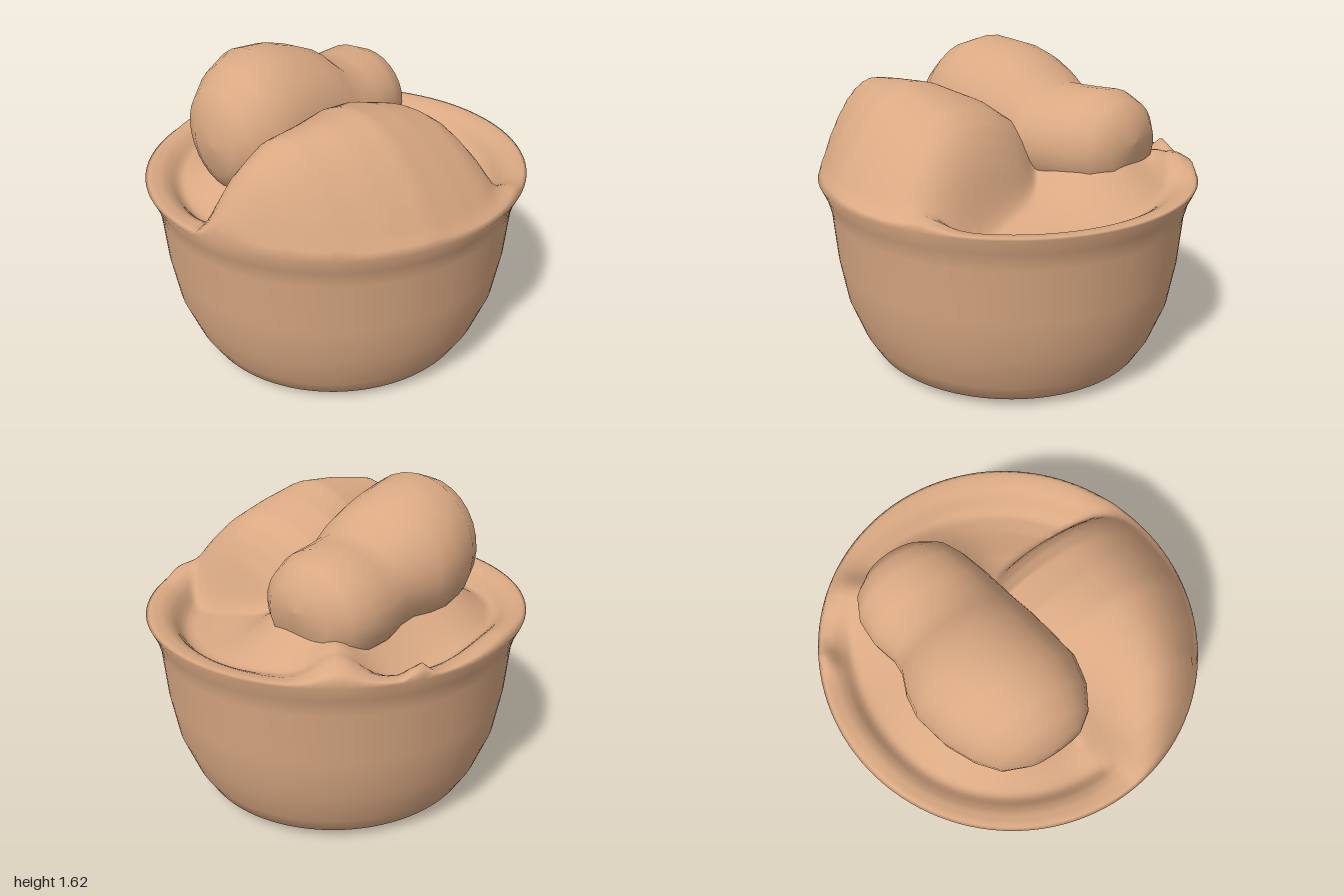
import * as THREE from 'three';

const clay = new THREE.MeshStandardMaterial({ color: 0xdaa983 });
clay.name = 'warm clay';

function add(group, name, geometry) {
  const mesh = new THREE.Mesh(geometry, clay);
  mesh.name = name;
  group.add(mesh);
}

// Smooth body lofted through a stack of closed rings
function loft(sections, ringPoint, n) {
  const pos = [], idx = [];
  sections.forEach((s, i) => {
    for (let j = 0; j < n; j++) {
      const a = (j / n) * Math.PI * 2;
      pos.push(...ringPoint(s, Math.cos(a), Math.sin(a)));
      if (i === sections.length - 1) continue;
      const p = i * n + j, q = i * n + (j + 1) % n;
      idx.push(p, p + n, q, q, p + n, q + n);
    }
  });
  const g = new THREE.BufferGeometry();
  g.setAttribute('position', new THREE.Float32BufferAttribute(pos, 3));
  g.setIndex(idx);
  g.computeVertexNormals();
  return g;
}

// Linear lookup in rows sorted by rising first column; null outside the range
function lookup(rows, t) {
  const i = rows.findIndex((r) => r[0] >= t);
  if (i < 1) return null;
  const a = rows[i - 1], b = rows[i], k = (t - a[0]) / (b[0] - a[0]);
  return a.map((v, c) => v + (b[c] - v) * k);
}

function smoothMax(a, b, k) {
  const h = Math.max(k - Math.abs(a - b), 0) / k;
  return Math.max(a, b) + h * h * k / 4;
}

// Outer wall: radius, height
const wall = [
  [0.001, 0], [0.6, 0], [0.68, 0.015], [0.75, 0.055], [0.805, 0.15], [0.875, 0.34],
  [0.91, 0.56], [0.928, 0.82], [0.95, 0.91], [0.985, 0.99],
];
// Filling inside the rim: radius, height
const filling = [
  [0, 0.98], [0.5, 0.92], [0.66, 0.87], [0.76, 0.86], [0.8, 0.88],
  [0.86, 0.96], [0.9, 0.985], [0.95, 0.995], [1, 0.99],
];
// Wide lump spilling to the rim: z, left x, peak x, right x, top
const wide = [
  [-0.4, 0.15, 0.47, 0.8, 0.84], [-0.34, 0.1, 0.46, 0.86, 1.0],
  [-0.29, 0.06, 0.45, 0.9, 1.15], [-0.24, 0.0, 0.45, 0.93, 1.25],
  [-0.18, -0.08, 0.44, 0.95, 1.325], [-0.1, -0.18, 0.43, 0.965, 1.38],
  [0.08, -0.2, 0.42, 0.97, 1.435], [0.27, -0.1, 0.42, 0.95, 1.475],
  [0.46, -0.02, 0.4, 0.87, 1.46], [0.66, 0.03, 0.35, 0.74, 1.43],
  [0.8, 0.06, 0.29, 0.59, 1.31], [0.88, 0.08, 0.25, 0.46, 1.2],
  [0.95, 0.1, 0.22, 0.34, 1.08], [1.0, 0.12, 0.2, 0.24, 0.98],
];
// Small swellings joining lumps, filling and rim: x, z, radius, height
const swellings = [
  [-0.56, -0.62, 0.13, 0.12], [-0.84, -0.4, 0.05, 0.06],
  [0.12, 0.75, 0.14, 0.06], [0.82, -0.3, 0.12, 0.05], [-0.77, 0.1, 0.25, 0.05],
];

function wideHeight(x, z) {
  const row = lookup(wide, z);
  if (!row) return 0;
  const [, xl, xm, xr, top] = row;
  const t = x < xm ? (xm - x) / (xm - xl) : (x - xm) / (xr - xm);
  if (t > 1) return 0;
  const base = Math.min(top, x < xm ? 0.84 : 0.96);
  return base + (top - base) * (x < xm ? Math.sqrt(1 - t * t) : 1 - t * t);
}

function fillHeight(x, z, r) {
  let y = lookup(filling, r)[1];
  // Skirt around the foot of the tall lump
  const d = Math.hypot(x + 0.25, z - THREE.MathUtils.clamp(z, -0.36, 0.22));
  y = smoothMax(y, 0.82 + 0.36 * Math.exp(-((d / 0.42) ** 2)), 0.08);
  for (const [sx, sz, radius, h] of swellings) {
    y += h * Math.exp(-((x - sx) ** 2 + (z - sz) ** 2) / radius ** 2);
  }
  return smoothMax(y, wideHeight(x, z), 0.08);
}

export function createModel() {
  const group = new THREE.Group();
  group.name = 'filledBowl';

  // Bowl wall up to the rim, then the filling with the wide lump to the centre
  const rings = wall.map(([r, y]) => ({ r, y }));
  const steps = 60;
  for (let i = 1; i <= steps; i++) rings.push({ r: 0.985 * (1 - i / steps) + 0.0005 });
  add(group, 'bowlAndFilling', loft(rings, ({ r, y }, c, s) => {
    const x = r * c * 0.985, z = r * s * 1.012;
    return [x, y ?? fillHeight(x, z, r), z];
  }, 120));

  // Tall lump with two swells: z, centre x, half width, top, bottom
  const tall = [
    [0.67, -0.16, 0, 1.22, 1.22], [0.655, -0.17, 0.15, 1.38, 1.07],
    [0.6, -0.19, 0.25, 1.48, 0.98], [0.5, -0.2, 0.32, 1.57, 0.9],
    [0.36, -0.22, 0.37, 1.62, 0.88], [0.18, -0.25, 0.38, 1.595, 0.88],
    [0.06, -0.25, 0.365, 1.56, 0.88], [-0.05, -0.24, 0.335, 1.515, 0.88],
    [-0.15, -0.24, 0.33, 1.43, 0.88], [-0.28, -0.27, 0.335, 1.425, 0.88],
    [-0.42, -0.29, 0.315, 1.43, 0.88], [-0.52, -0.29, 0.27, 1.39, 0.92],
    [-0.59, -0.29, 0.18, 1.32, 1.0], [-0.61, -0.29, 0, 1.19, 1.19],
  ];
  add(group, 'tallLump', loft(tall, ([z, cx, w, top, low], c, s) =>
    [cx + w * c, (top + low) / 2 + (top - low) / 2 * s, z], 28));
  return group;
}
